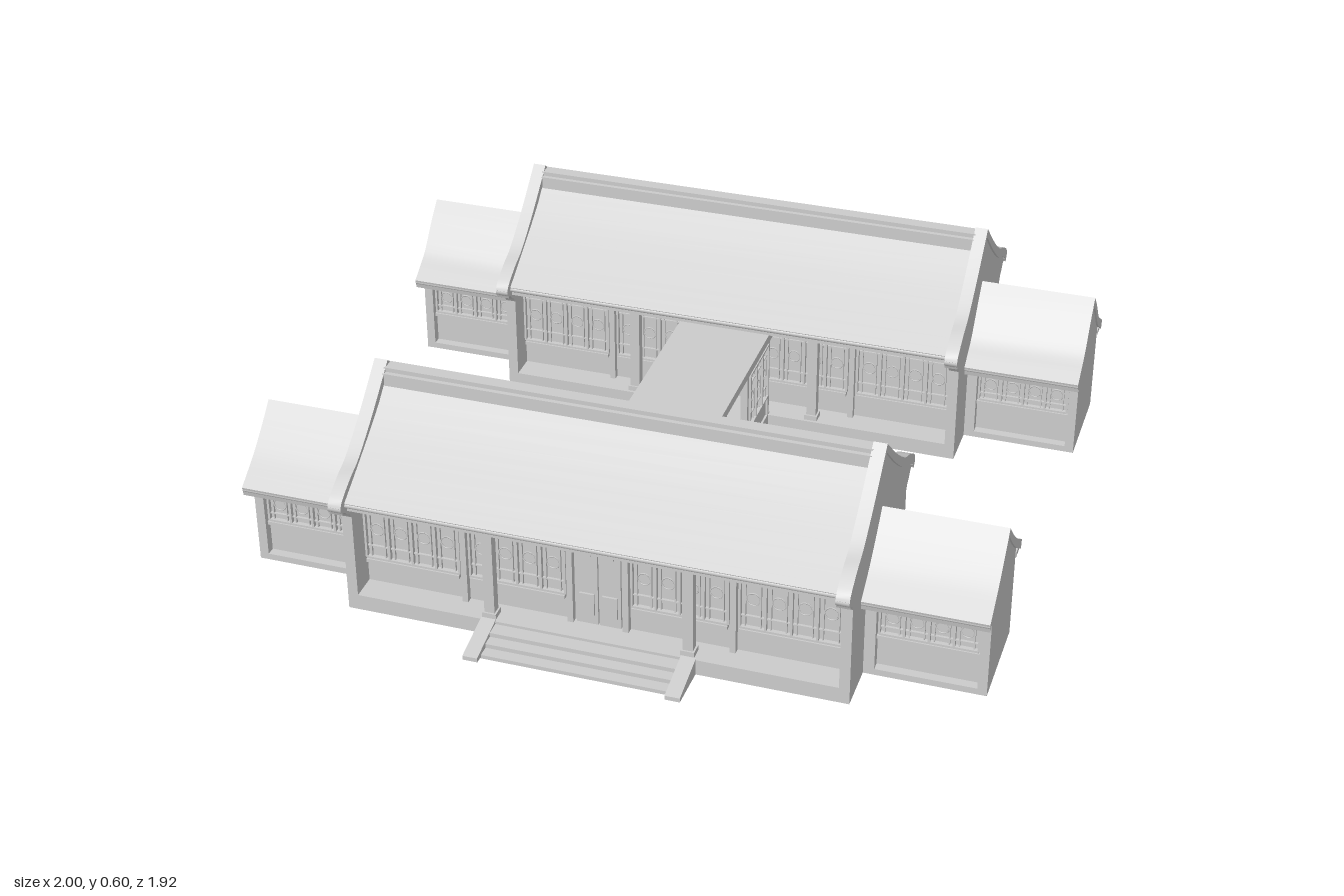
import * as THREE from 'three';
import { toCreasedNormals } from 'three/addons/utils/BufferGeometryUtils.js';

const mat = new THREE.MeshStandardMaterial({ color: 0xcccccc });

function add(parent, name, geometry) {
  const m = new THREE.Mesh(geometry, mat);
  m.name = name;
  parent.add(m);
  return m;
}

// Box given by its two extreme corners
function box(parent, name, x0, x1, y0, y1, z0, z1) {
  const m = add(parent, name, new THREE.BoxGeometry(x1 - x0, y1 - y0, z1 - z0));
  m.position.set((x0 + x1) / 2, (y0 + y1) / 2, (z0 + z1) / 2);
  return m;
}

// Cross-section of [z, y] points swept along x
function sweep(parent, name, pts, x0, x1) {
  const shape = new THREE.Shape(pts.map(([z, y]) => new THREE.Vector2(-z, y)));
  const g = new THREE.ExtrudeGeometry(shape, { depth: x1 - x0, bevelEnabled: false });
  g.rotateY(Math.PI / 2).translate(x0, 0, 0);
  return add(parent, name, toCreasedNormals(g, 0.4));
}

// Half slope, ridge to eave, smoothed
const slope = (pts, n = 10) =>
  new THREE.SplineCurve(pts.map(p => new THREE.Vector2(...p))).getPoints(n).map(p => [p.x, p.y]);
const mirrored = half => [...half, ...half.map(([z, y]) => [-z, y]).reverse()];

// Band of a roof slope with thickness t, both sides of the ridge
function band(curve, t) {
  const under = curve.map(([z, y]) => [z * 0.97, y - t]);
  return [...mirrored([...curve].reverse()), ...mirrored([...under].reverse()).reverse()];
}

// Lattice window in the xy plane, facing +z: sashes with bars, a raised ring and an inner frame
function lattice(parent, name, x0, x1, y0, y1, sashes) {
  const g = new THREE.Group();
  g.name = name;
  const t = 0.006, w = (x1 - x0) / sashes, h = y1 - y0;
  for (let i = 0; i <= sashes; i++) {
    const x = x0 + i * w;
    box(g, 'stile', x - t / 2, x + t / 2, y0, y1, 0, 0.012);
  }
  for (const y of [y0, y1]) box(g, 'rail', x0, x1, y - t / 2, y + t / 2, 0, 0.012);
  for (let i = 0; i < sashes; i++) {
    const a = x0 + i * w, cx = a + w / 2, cy = y0 + h / 2;
    for (const k of [0.2, 0.8]) {
      box(g, 'verticalBar', a + w * k - 0.0015, a + w * k + 0.0015, y0, y1, 0, 0.007);
      box(g, 'crossBar', a, a + w, y0 + h * k - 0.0015, y0 + h * k + 0.0015, 0, 0.007);
    }
    const r = Math.min(w, h) * 0.27;
    add(g, 'ring', new THREE.TorusGeometry(r, 0.002, 5, 16)).position.set(cx, cy, 0.004);
  }
  parent.add(g);
  return g;
}

const hallSlope = slope([[0, 0.565], [0.11, 0.485], [0.22, 0.415], [0.315, 0.358]]);
const vergeSlope = slope([[0, 0.603], [0.11, 0.507], [0.21, 0.433], [0.27, 0.406], [0.325, 0.373], [0.338, 0.355]], 16);

function hall(isFront) {
  const g = new THREE.Group();
  const face = 0.2;
  // Solid rooms behind a raised porch
  box(g, 'rooms', -0.65, 0.65, 0, 0.36, -0.275, face);
  box(g, 'porchFloor', -0.65, 0.65, 0, 0.045, face, 0.275);
  box(g, 'lintel', -0.65, 0.65, 0.305, 0.345, 0.235, 0.262);

  // Main roof, ridge and layered eaves
  sweep(g, 'roof', mirrored([...hallSlope].reverse().flatMap((p, i) => i ? [p] : [[0.29, 0.338], [0.31, 0.343], p])), -0.65, 0.65);
  box(g, 'ridge', -0.65, 0.65, 0.535, 0.578, -0.03, 0.03);
  box(g, 'ridgeCap', -0.65, 0.65, 0.576, 0.59, -0.018, 0.018);
  for (const s of [1, -1]) {
    box(g, 'eaveBoard', -0.65, 0.65, 0.324, 0.342, s * 0.285 - 0.012, s * 0.285 + 0.012);
    const roll = add(g, 'eaveRoll', new THREE.CylinderGeometry(0.009, 0.009, 1.3, 10));
    roll.rotation.z = Math.PI / 2;
    roll.position.set(0, 0.35, s * 0.307);
  }

  // Gable walls with curved eave brackets and a raised verge
  const half = [[0.275, 0], [0.275, 0.29], [0.285, 0.305], [0.3, 0.315], [0.312, 0.328], [0.33, 0.335],
    ...[...vergeSlope].reverse().map(([z, y]) => [z, y - 0.006])];
  for (const s of [1, -1]) {
    const a = s > 0 ? 0.648 : -0.676;
    sweep(g, 'gableWall', mirrored(half), a, a + 0.028);
    const b = s > 0 ? 0.646 : -0.682;
    sweep(g, 'verge', band(vergeSlope, 0.026), b, b + 0.036);
    for (const e of [1, -1]) {
      const nub = add(g, 'vergeEnd', new THREE.CylinderGeometry(0.013, 0.013, 0.036, 12));
      nub.rotation.z = Math.PI / 2;
      nub.position.set(s * 0.664, 0.35, e * 0.326);
    }
  }

  // Porch columns and wall posts
  for (const x of [-0.285, 0.25]) {
    box(g, 'porchColumn', x - 0.014, x + 0.014, 0.045, 0.325, 0.235, 0.262);
    box(g, 'columnBase', x - 0.019, x + 0.019, 0.045, 0.06, 0.23, 0.267);
  }
  for (const x of [-0.37, -0.08, 0.07, 0.355])
    box(g, 'wallPost', x - 0.008, x + 0.008, 0.045, 0.335, face, face + 0.018);

  // Windows over a plain dado, either side of the entrance
  for (const [a, b, n] of [[-0.645, -0.385, 4], [-0.355, -0.095, 4], [0.085, 0.34, 4], [0.37, 0.64, 4]]) {
    box(g, 'dadoSill', a, b, 0.112, 0.122, face, face + 0.016);
    lattice(g, 'window', a, b, 0.125, 0.3, n).position.z = face;
  }
  if (isFront) {
    // Double door with sunk-panel frames
    for (const s of [-1, 1]) {
      const cx = -0.005 + s * 0.031;
      box(g, 'doorLeaf', cx - 0.029, cx + 0.029, 0.045, 0.3, face, face + 0.008);
      box(g, 'doorPanel', cx - 0.02, cx + 0.02, 0.075, 0.14, face, face + 0.014);
      box(g, 'doorTopPanel', cx - 0.012, cx + 0.012, 0.255, 0.29, face, face + 0.014);
    }
    // Entrance steps between sloping cheeks
    for (let i = 0; i < 3; i++)
      box(g, 'step', -0.27, 0.24, 0.002, 0.037 - i * 0.012, 0.27, 0.315 + i * 0.032);
    for (const x of [-0.305, 0.235])
      sweep(g, 'stepCheek', [[0.27, 0], [0.405, 0.008], [0.405, 0.02], [0.27, 0.048]], x, x + 0.04);
  }
  return g;
}

// Small side wing on the +x side, windowed on the chosen sides
function wing(peak, sides) {
  const g = new THREE.Group();
  const curve = slope([[0, peak], [0.05, peak - 0.05], [0.11, 0.315], [0.16, 0.28], [0.193, 0.258]], 12);
  sweep(g, 'wingRoof', band(curve, 0.026), 0.67, 1);
  sweep(g, 'wingAttic', mirrored([[0.14, 0.22], [0.14, 0.27], [0.1, 0.3], [0.05, peak - 0.073], [0.008, peak - 0.022]]), 0.67, 0.995);
  for (const s of [1, -1]) {
    box(g, 'wingEave', 0.675, 0.997, 0.236, 0.25, s * 0.16 - 0.02, s * 0.16 + 0.02);
    const roll = add(g, 'wingEaveRoll', new THREE.CylinderGeometry(0.008, 0.008, 0.33, 10));
    roll.rotation.z = Math.PI / 2;
    roll.position.set(0.835, 0.25, s * 0.184);
  }
  box(g, 'wingRoom', 0.67, 0.975, 0, 0.25, sides.includes(-1) ? -0.115 : -0.14, 0.115);
  box(g, 'wingEndWall', 0.97, 0.995, 0, 0.25, -0.14, 0.14);
  for (const s of sides) {
    const front = new THREE.Group();
    front.name = 'wingFront';
    box(front, 'wingPost', 0.67, 0.705, 0, 0.25, 0.11, 0.14);
    box(front, 'wingPlinth', 0.7, 0.975, 0, 0.018, 0.11, 0.14);
    box(front, 'wingLintel', 0.7, 0.975, 0.23, 0.25, 0.11, 0.14);
    box(front, 'wingSill', 0.705, 0.97, 0.105, 0.115, 0.11, 0.128);
    lattice(front, 'wingWindow', 0.71, 0.965, 0.12, 0.222, 4).position.z = 0.115;
    if (s < 0) {
      front.rotation.y = Math.PI;
      front.position.x = 1.6675;
      // Keep the corner post next to the hall on the turned face
      front.children[0].position.x = 1.6675 - 0.6875;
    }
    g.add(front);
  }
  return g;
}

// Covered passage joining the two halls, open in the middle
function corridor() {
  const g = new THREE.Group();
  box(g, 'corridorFloor', -0.13, 0.125, 0, 0.048, -0.36, 0.29);
  box(g, 'corridorRoof', -0.135, 0.13, 0.3, 0.325, -0.36, 0.29);
  for (const s of [1, -1]) {
    const x = s * 0.115, wall = (n, y0, y1, z0, z1, t = 0.006) => box(g, n, x - t, x + t, y0, y1, z0, z1);
    wall('corridorRail', 0.04, 0.12, -0.135, 0.07);
    for (const z of [0.272, 0.075, -0.135, -0.345]) wall('corridorPost', 0.04, 0.305, z - 0.007, z + 0.007, 0.01);
    for (const [z0, z1] of [[0.08, 0.27], [-0.34, -0.14]]) {
      wall('corridorPanel', 0.04, 0.305, z0, z1, 0.004);
      const l = lattice(g, 'corridorWindow', -(z1 - z0) / 2 + 0.01, (z1 - z0) / 2 - 0.01, 0.12, 0.29, 3);
      l.rotation.y = s * Math.PI / 2;
      l.position.set(s * 0.118, 0, (z0 + z1) / 2);
    }
  }
  return g;
}

export function createModel() {
  const model = new THREE.Group();
  model.name = 'courtyardHouse';
  const place = (part, name, z) => {
    part.name = name;
    part.position.z = z;
    model.add(part);
    return part;
  };
  for (const [label, z, isFront, peak, sides] of [['front', 0.555, true, 0.418, [1, -1]], ['back', -0.62, false, 0.435, [1]]]) {
    place(hall(isFront), label + 'Hall', z);
    place(wing(peak, sides), label + 'LeftWing', z);
    // Opposite wing: the same wing moved across, with its end wall and post swapped by reflection
    place(wing(peak, sides), label + 'RightWing', z).scale.x = -1;
  }
  place(corridor(), 'corridor', 0);
  return model;
}
